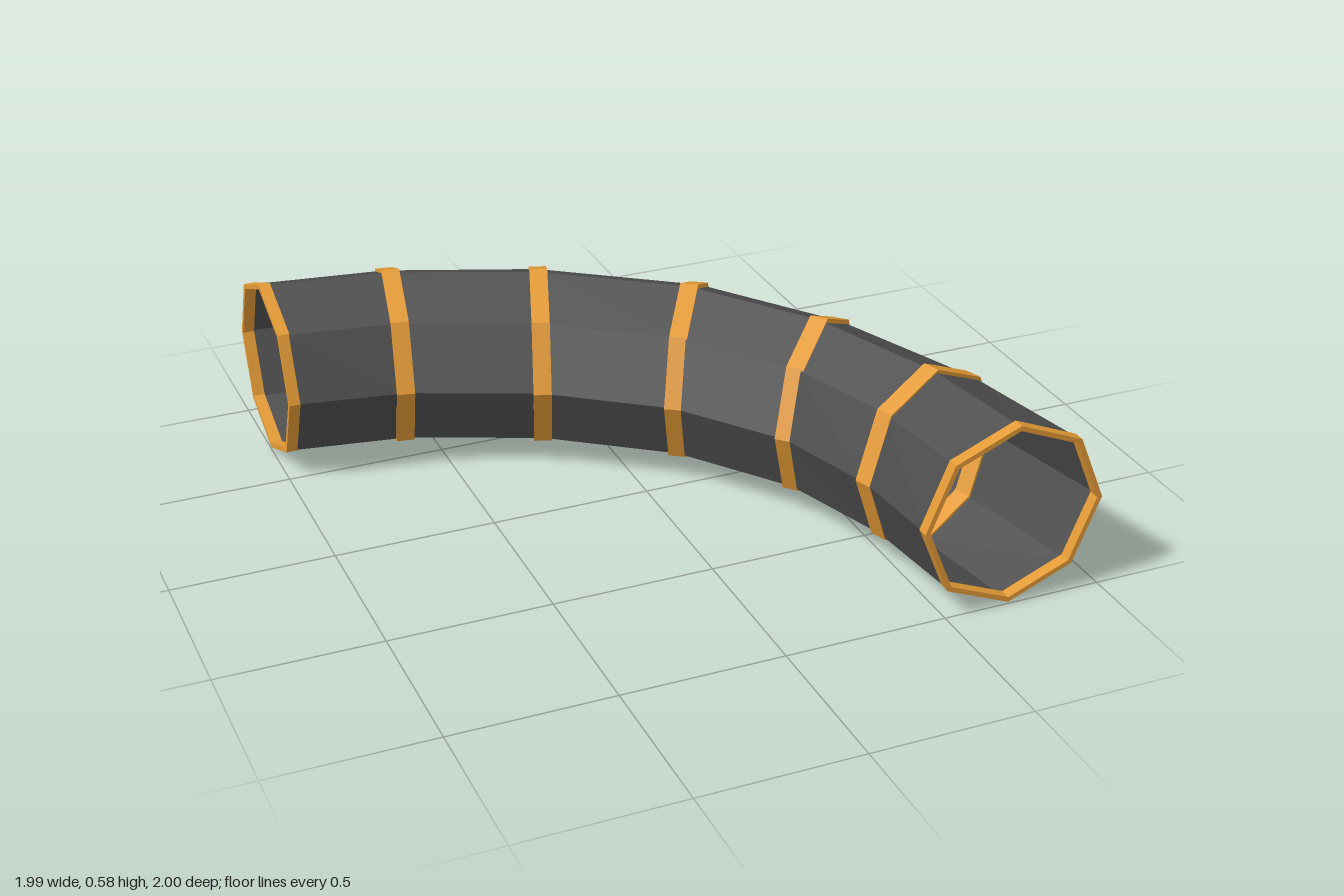
import * as THREE from 'three';

const SIDES = 8;
const CENTRE_Y = 0.297;

// Stations along the quarter bend: centre x, z, heading in degrees, half width, half height
const STATIONS = [
  [-1, -0.715, 0, 0.285, 0.286],
  [-0.594, -0.654, 10.6, 0.291, 0.291],
  [-0.166, -0.48, 19, 0.294, 0.291],
  [0.225, -0.197, 33, 0.286, 0.291],
  [0.49, 0.17, 47.5, 0.266, 0.291],
  [0.643, 0.59, 72, 0.264, 0.291],
  [0.705, 1, 90, 0.285, 0.286],
];

// Octagonal cross-section at a station, shifted along the pipe and shrunk by an inset
function section([x, z, heading, halfWidth, halfHeight], along, inset) {
  const h = THREE.MathUtils.degToRad(heading);
  const points = [];
  for (let j = 0; j < SIDES; j++) {
    const a = (j / SIDES) * Math.PI * 2;
    const out = (halfWidth - inset) * Math.cos(a);
    points.push([
      x + Math.cos(h) * along + Math.sin(h) * out,
      CENTRE_Y + (halfHeight - inset) * Math.sin(a),
      z + Math.sin(h) * along - Math.cos(h) * out,
    ]);
  }
  return points;
}

// Skin consecutive cross-sections with flat quads
function loft(sections) {
  const positions = [];
  for (let i = 0; i < sections.length - 1; i++) {
    const a = sections[i], b = sections[i + 1];
    for (let j = 0; j < SIDES; j++) {
      const k = (j + 1) % SIDES;
      positions.push(...a[j], ...a[k], ...b[k], ...a[j], ...b[k], ...b[j]);
    }
  }
  const geometry = new THREE.BufferGeometry();
  geometry.setAttribute('position', new THREE.Float32BufferAttribute(positions, 3));
  geometry.computeVertexNormals();
  return geometry;
}

export function createModel() {
  const group = new THREE.Group();
  group.name = 'curvedPipe';
  const grey = new THREE.MeshStandardMaterial({ color: 0x4d4d4d, flatShading: true, side: THREE.DoubleSide });
  grey.name = 'dark grey';
  const orange = new THREE.MeshStandardMaterial({ color: 0xe39a35, flatShading: true });
  orange.name = 'orange';

  // Open thin-walled pipe
  const last = STATIONS.length - 1;
  const wall = STATIONS.map((s, i) =>
    section(s, i === 0 ? 0.01 : i === last ? -0.01 : 0, i === 0 || i === last ? 0.004 : 0.009));
  const pipe = new THREE.Mesh(loft(wall), grey);
  pipe.name = 'pipeWall';
  group.add(pipe);

  // Bands at every joint, standing proud inside and out; end bands stay flush with the openings
  STATIONS.forEach((s, i) => {
    const back = i === 0 ? 0 : i === last ? -0.036 : -0.028;
    const front = i === 0 ? 0.036 : i === last ? 0 : 0.028;
    const outer = 0, inner = i === 0 || i === last ? 0.016 : 0.02;
    const band = new THREE.Mesh(loft([
      section(s, back, outer), section(s, front, outer),
      section(s, front, inner), section(s, back, inner),
      section(s, back, outer),
    ]), orange);
    band.name = i === 0 || i === last ? 'endBand' : 'jointBand';
    group.add(band);
  });

  return group;
}
